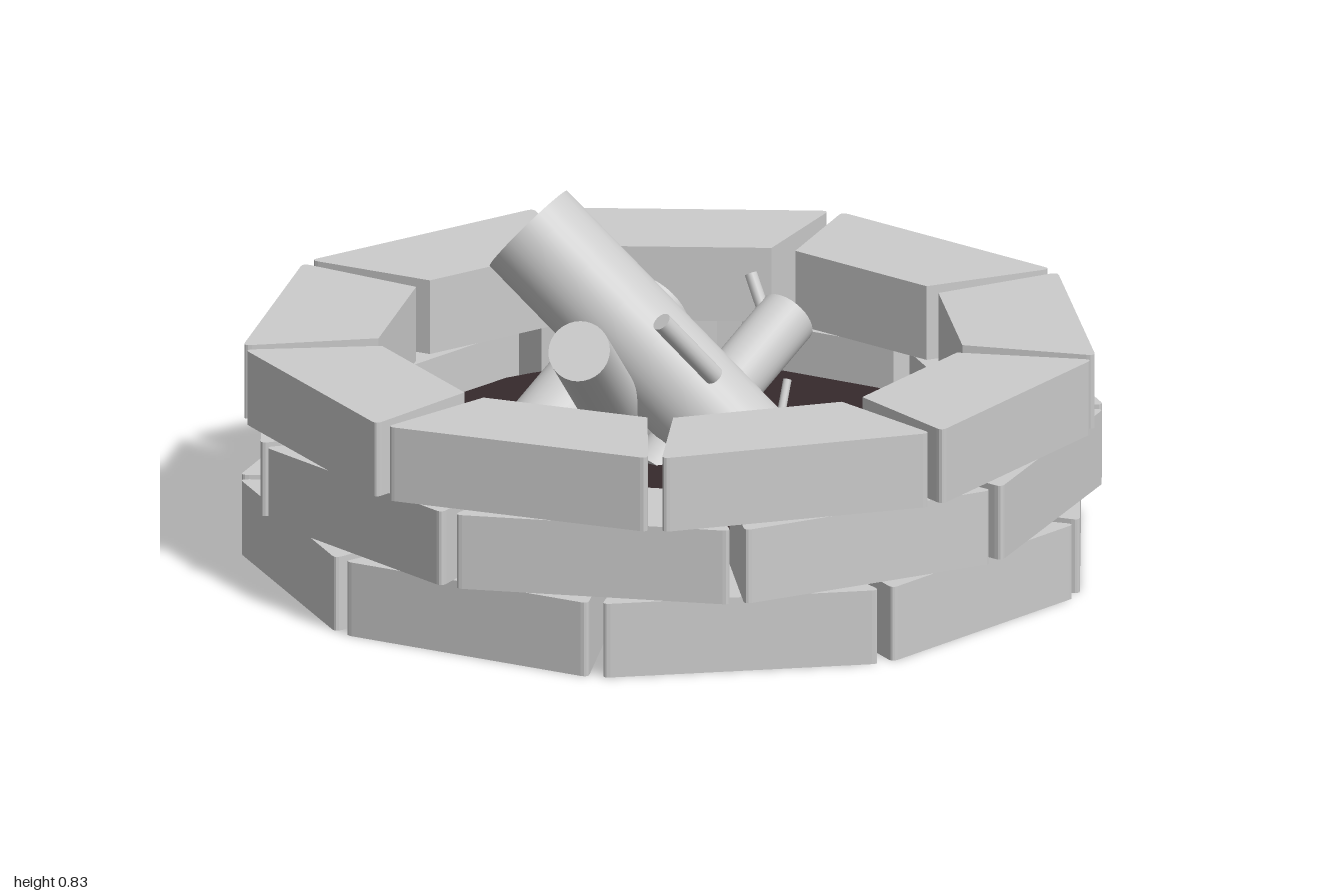
import * as THREE from 'three';

const STONES = 9;
const COURSE = 0.1785; // height of one ring of stones

const grey = new THREE.MeshStandardMaterial({ color: 0xcccccc });
const ash = new THREE.MeshStandardMaterial({ color: 0x362a2c });

// Wedge-shaped stone, outer corners slightly rounded, lying at -z
function stoneGeometry() {
  const outer = 0.945, inner = 0.65, halfOuter = 0.327, halfInner = 0.205, r = 0.02;
  const slope = (halfOuter - halfInner) / (outer - inner);
  const s = new THREE.Shape();
  s.moveTo(-halfInner, inner);
  s.lineTo(halfInner, inner);
  s.lineTo(halfOuter - r * slope, outer - r);
  s.quadraticCurveTo(halfOuter, outer, halfOuter - r, outer);
  s.lineTo(-halfOuter + r, outer);
  s.quadraticCurveTo(-halfOuter, outer, -halfOuter + r * slope, outer - r);
  s.closePath();
  const g = new THREE.ExtrudeGeometry(s, { depth: COURSE, bevelEnabled: false, curveSegments: 4 });
  return g.rotateX(-Math.PI / 2);
}

// Cylinder running between two points
function rod(name, from, to, radius, sides = 32) {
  const a = new THREE.Vector3(...from), b = new THREE.Vector3(...to);
  const dir = b.clone().sub(a);
  const mesh = new THREE.Mesh(new THREE.CylinderGeometry(radius, radius, dir.length(), sides), grey);
  mesh.name = name;
  mesh.position.copy(a).add(b).multiplyScalar(0.5);
  mesh.quaternion.setFromUnitVectors(new THREE.Vector3(0, 1, 0), dir.normalize());
  return mesh;
}

export function createModel() {
  const pit = new THREE.Group();
  pit.name = 'firePit';

  // Three staggered rings of stones; each angle locates the joint nearest the front
  const geometry = stoneGeometry();
  [99, 80, 91].forEach((joint, level) => {
    const ring = new THREE.Group();
    ring.name = `stoneRing${level + 1}`;
    ring.position.y = level * COURSE;
    for (let i = 0; i < STONES; i++) {
      const stone = new THREE.Mesh(geometry, grey);
      stone.name = 'stone';
      const angle = joint + (i + 0.5) * 360 / STONES;
      stone.rotation.y = -THREE.MathUtils.degToRad(angle + 90);
      ring.add(stone);
    }
    pit.add(ring);
  });

  // Bed of ash filling the lower part of the ring
  const bed = new THREE.Mesh(new THREE.CylinderGeometry(0.67, 0.67, 0.24, 48), ash);
  bed.name = 'ashBed';
  bed.position.y = 0.13;
  pit.add(bed);

  // Stacked logs, listed from raised end to buried end
  const logs = new THREE.Group();
  logs.name = 'logs';
  logs.add(
    rod('largeLog', [-0.335, 0.74, -0.13], [0.29, 0.15, 0.105], 0.125),
    rod('frontLog', [-0.205, 0.62, 0.44], [-0.1, 0.2, -0.24], 0.072),
    rod('backLog', [-0.05, 0.5, -0.3], [-0.37, 0.22, 0.12], 0.1),
    rod('sideLog', [0.26, 0.47, -0.32], [-0.05, 0.2, 0.09], 0.07)
  );
  pit.add(logs);

  // Short broken twigs sticking out of the logs
  const twigs = new THREE.Group();
  twigs.name = 'twigs';
  twigs.add(
    rod('twig', [-0.02, 0.615, 0.19], [0.1, 0.46, 0.11], 0.023, 16),
    rod('twig', [0.175, 0.565, -0.35], [0.215, 0.46, -0.3], 0.015, 12),
    rod('twig', [0.265, 0.39, -0.09], [0.24, 0.26, -0.02], 0.01, 12)
  );
  pit.add(twigs);

  return pit;
}
